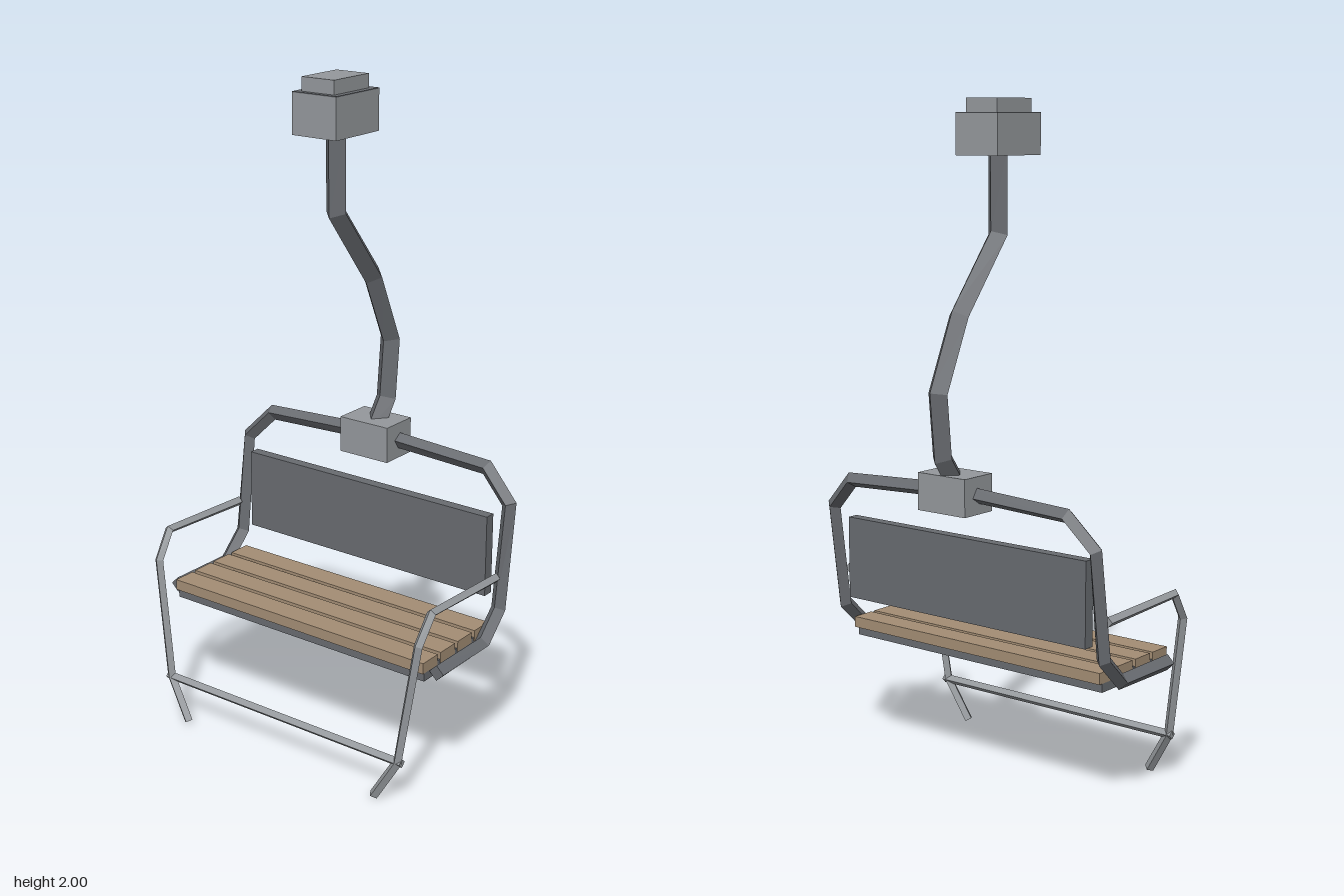
import * as THREE from 'three';

const steel = new THREE.MeshStandardMaterial({ color: 0x686b70, flatShading: true });
steel.name = 'dark steel';
const lightSteel = new THREE.MeshStandardMaterial({ color: 0x94989c, flatShading: true });
lightSteel.name = 'light steel';
const wood = new THREE.MeshStandardMaterial({ color: 0xa38d74, flatShading: true });
wood.name = 'wood';

// Straight-segment path with averaged directions at the bends
class BentPath extends THREE.Curve {
  constructor(points) {
    super();
    this.points = points.map((p) => new THREE.Vector3(...p));
  }
  getPointAt(t, target = new THREE.Vector3()) {
    const s = t * (this.points.length - 1);
    const i = Math.min(Math.floor(s + 1e-6), this.points.length - 2);
    return target.copy(this.points[i]).lerp(this.points[i + 1], s - i);
  }
  getTangentAt(t, target = new THREE.Vector3()) {
    const p = this.points;
    const i = Math.round(t * (p.length - 1));
    target.set(0, 0, 0);
    if (i > 0) target.add(p[i].clone().sub(p[i - 1]).normalize());
    if (i < p.length - 1) target.add(p[i + 1].clone().sub(p[i]).normalize());
    return target.normalize();
  }
}

export function createModel() {
  const group = new THREE.Group();
  group.name = 'chairlift';

  const add = (name, geometry, material) => {
    const mesh = new THREE.Mesh(geometry, material);
    mesh.name = name;
    group.add(mesh);
  };

  // Box given by half width and its y and z ranges
  const box = (name, material, halfX, y0, y1, z0, z1) => {
    const geometry = new THREE.BoxGeometry(halfX * 2, y1 - y0, z1 - z0);
    geometry.translate(0, (y0 + y1) / 2, (z0 + z1) / 2);
    add(name, geometry, material);
  };

  // Four-sided capped tube along a bent path
  const bar = (name, material, points, radius) => {
    const n = points.length - 1;
    const tube = new THREE.TubeGeometry(new BentPath(points), n, radius, 4);
    const e = n * 5;
    tube.setIndex([...tube.index.array, 0, 1, 2, 0, 2, 3, e, e + 2, e + 1, e, e + 3, e + 2]);
    const geometry = tube.toNonIndexed();
    geometry.computeVertexNormals();
    add(name, geometry, material);
  };

  // Cable clamp
  box('clampCap', lightSteel, 0.056, 1.955, 2, -0.075, 0.083);
  box('clampPlate', steel, 0.076, 1.957, 1.96, -0.097, 0.1);
  box('clampBody', lightSteel, 0.076, 1.84, 1.957, -0.097, 0.1);

  // Cranked hanger pole and its joint with the chair frame
  bar('hangerPole', steel, [
    [0, 1.86, 0], [0, 1.615, 0], [0, 1.395, -0.175],
    [0, 1.185, -0.268], [0, 1.0, -0.25], [0, 0.9, -0.18],
  ], 0.035);
  box('hangerJoint', lightSteel, 0.087, 0.84, 0.95, -0.257, -0.135);

  // Chair frame: one side, over the top, and the mirrored side
  const side = [
    [0.488, 0.395, 0.175], [0.488, 0.395, -0.06], [0.488, 0.475, -0.143],
    [0.488, 0.79, -0.185], [0.4, 0.88, -0.198],
  ];
  const otherSide = side.map(([x, y, z]) => [-x, y, z]).reverse();
  bar('chairFrame', steel, [...side, [0, 0.898, -0.198], ...otherSide], 0.024);

  // Seat and backrest
  box('seatBase', steel, 0.462, 0.37, 0.408, -0.113, 0.198);
  for (let i = 0; i < 4; i++) {
    const z = -0.128 + i * 0.0873;
    box('seatPlank' + (i + 1), wood, 0.464, 0.397, 0.43, z, z + 0.073);
  }
  box('backrest', steel, 0.444, 0.505, 0.755, -0.17, -0.136);

  // Safety bar with footrest
  for (const s of [1, -1]) {
    bar(s > 0 ? 'leftSafetyBar' : 'rightSafetyBar', lightSteel, [
      [s * 0.488, 0.58, -0.125], [s * 0.488, 0.592, 0.205], [s * 0.483, 0.51, 0.26],
      [s * 0.43, 0.137, 0.277], [s * 0.355, 0.01, 0.288],
    ], 0.015);
  }
  bar('footrestBar', lightSteel, [[-0.444, 0.137, 0.275], [0.444, 0.137, 0.275]], 0.014);

  return group;
}
